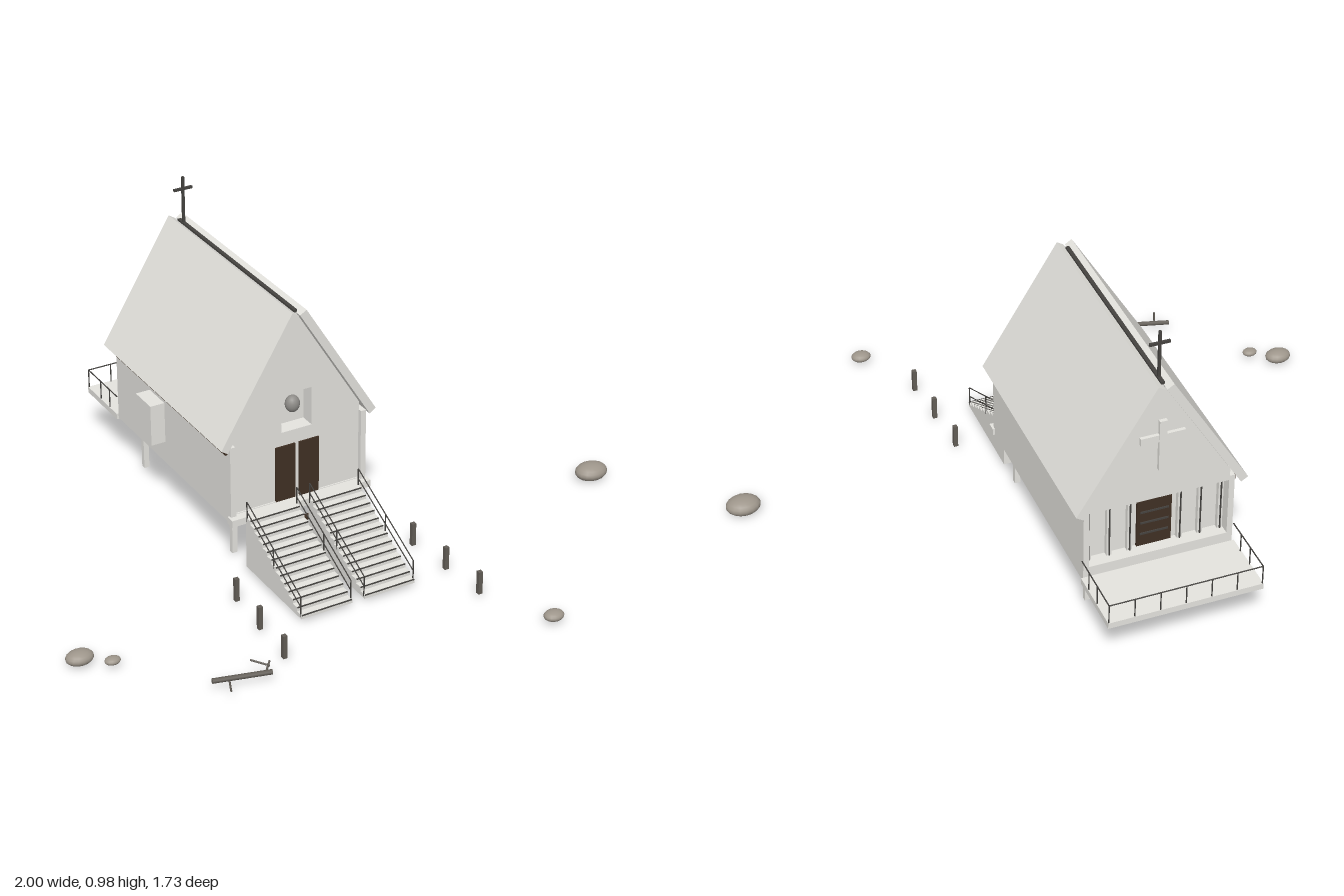
import * as THREE from 'three';

const mat = (name, color) => {
  const m = new THREE.MeshStandardMaterial({ color });
  m.name = name;
  return m;
};

export function createModel() {
  const plaster = mat('pale plaster', 0xe4e3de);
  const brown = mat('dark brown wood', 0x403024);
  const iron = mat('dark iron', 0x454340);
  const stone = mat('grey stone', 0x9e968b);
  const oldWood = mat('weathered wood', 0x625d56);
  const bronze = mat('bell metal', 0x8f8d89);

  const model = new THREE.Group();
  model.name = 'hillChapel';
  const chapel = new THREE.Group();
  chapel.name = 'chapel';
  chapel.position.x = -0.093;
  model.add(chapel);

  const add = (parent, name, geo, material) => {
    const m = new THREE.Mesh(geo, material);
    m.name = name;
    parent.add(m);
    return m;
  };
  // Box given by its minimum and maximum on each axis
  const box = (parent, name, material, x0, x1, y0, y1, z0, z1) => {
    const m = add(parent, name, new THREE.BoxGeometry(x1 - x0, y1 - y0, z1 - z0), material);
    m.position.set((x0 + x1) / 2, (y0 + y1) / 2, (z0 + z1) / 2);
    return m;
  };
  // Round bar between two points
  const bar = (parent, name, material, a, b, r, sides = 6) => {
    const p = new THREE.Vector3(...a), q = new THREE.Vector3(...b);
    const m = add(parent, name, new THREE.CylinderGeometry(r, r, p.distanceTo(q), sides), material);
    m.position.copy(p).add(q).multiplyScalar(0.5);
    m.quaternion.setFromUnitVectors(new THREE.Vector3(0, 1, 0), q.sub(p).normalize());
    return m;
  };
  const shape = (pts) => new THREE.Shape(pts.map(([x, y]) => new THREE.Vector2(x, y)));
  // Outline in x and y, extruded from z0 to z1
  const prism = (parent, name, material, s, z0, z1) => {
    const geo = new THREE.ExtrudeGeometry(s, { depth: z1 - z0, bevelEnabled: false });
    geo.translate(0, 0, z0);
    return add(parent, name, geo, material);
  };

  // Floor, front lip, rear terrace and stilts
  box(chapel, 'floorSlab', plaster, -0.22, 0.22, 0.165, 0.19, -0.655, 0.1);
  box(chapel, 'frontLip', plaster, -0.245, 0.245, 0.165, 0.188, 0.1, 0.13);
  box(chapel, 'rearTerrace', plaster, -0.245, 0.245, 0.16, 0.18, -0.868, -0.655);
  for (const x of [-0.19, 0.19])
    for (const z of [-0.565, 0.035])
      box(chapel, 'stilt', plaster, x - 0.009, x + 0.009, 0.012, 0.165, z - 0.008, z + 0.008);

  // Side walls, roof slabs and eaves strips, mirrored
  for (const s of [-1, 1]) {
    const side = (a, b) => (s > 0 ? [a, b] : [-b, -a]);
    box(chapel, 'sideWall', plaster, ...side(0.22, 0.238), 0.165, 0.43, -0.655, 0.11);
    prism(chapel, 'roofSlab', plaster,
      shape([[0.27, 0.431], [0.024, 0.832], [0.002, 0.818], [0.248, 0.417]].map(([x, y]) => [x * s, y])),
      -0.677, 0.115);
    box(chapel, 'eavesStrip', brown, ...side(0.237, 0.247), 0.401, 0.42, -0.64, 0.095);
  }
  box(chapel, 'ridgeStrip', iron, -0.006, 0.006, 0.8, 0.827, -0.65, 0.09);

  // Front gable with the bell niche cut through
  const front = shape([[-0.222, 0.19], [0.222, 0.19], [0.222, 0.456], [0, 0.819], [-0.222, 0.456]]);
  front.holes.push(new THREE.Path([[-0.053, 0.424], [-0.053, 0.554], [0.053, 0.554], [0.053, 0.424]]
    .map(([x, y]) => new THREE.Vector2(x, y))));
  prism(chapel, 'frontGable', plaster, front, 0.045, 0.095);
  box(chapel, 'nicheBack', plaster, -0.06, 0.06, 0.418, 0.56, 0.035, 0.045);
  const bell = add(chapel, 'bell', new THREE.SphereGeometry(1, 18, 12), bronze);
  bell.scale.set(0.024, 0.028, 0.022);
  bell.position.set(0, 0.5, 0.07);

  // Front double door
  for (const s of [-1, 1]) {
    const x = s * 0.0415;
    box(chapel, 'frontDoor', brown, x - 0.0345, x + 0.0345, 0.188, 0.378, 0.092, 0.1);
  }

  // Rear gable above the recessed porch, with its raised cross
  prism(chapel, 'rearGable', plaster,
    shape([[-0.222, 0.415], [0.222, 0.415], [0.222, 0.456], [0, 0.819], [-0.222, 0.456]]), -0.655, -0.635);
  box(chapel, 'gableCrossUpright', plaster, -0.012, 0.012, 0.525, 0.7, -0.667, -0.655);
  box(chapel, 'gableCrossArm', plaster, -0.07, 0.07, 0.628, 0.652, -0.666, -0.655);
  box(chapel, 'porchWall', plaster, -0.222, 0.222, 0.19, 0.43, -0.61, -0.6);
  box(chapel, 'porchCeiling', plaster, -0.222, 0.222, 0.415, 0.425, -0.636, -0.6);
  box(chapel, 'porchSill', plaster, -0.222, 0.222, 0.19, 0.215, -0.655, -0.61);
  box(chapel, 'rearDoor', brown, -0.055, 0.055, 0.215, 0.395, -0.618, -0.61);
  for (const y of [0.26, 0.3, 0.34])
    box(chapel, 'rearDoorBar', iron, -0.045, 0.045, y - 0.003, y + 0.003, -0.621, -0.617);
  for (const x of [-0.21, -0.145, -0.08, 0.08, 0.145, 0.21]) {
    box(chapel, 'porchMullion', plaster, x - 0.008, x + 0.008, 0.215, 0.415, -0.625, -0.61);
    box(chapel, 'mullionTrim', iron, x - 0.002, x + 0.002, 0.215, 0.415, -0.628, -0.625);
  }

  // Terrace railing
  const R = 0.242, back = -0.865, top = 0.244;
  bar(chapel, 'terraceRail', iron, [-R, top, back], [R, top, back], 0.002);
  for (const x of [-R, R]) {
    bar(chapel, 'terraceRail', iron, [x, top, -0.655], [x, top, back], 0.002);
    for (const z of [-0.71, -0.775, back])
      bar(chapel, 'terracePost', iron, [x, 0.18, z], [x, top, z], 0.002);
  }
  for (let i = 1; i < 6; i++) {
    const x = -R + (2 * R * i) / 6;
    bar(chapel, 'terracePost', iron, [x, 0.18, back], [x, top, back], 0.002);
  }

  // Twin stairs: stepped outline in z and y, extruded across x
  const steps = 13, zTop = 0.13, zEnd = 0.467, yLow = 0.012, yHigh = 0.188;
  const run = (zEnd - zTop) / steps, rise = (yHigh - yLow) / steps;
  const outline = [[zTop, yLow], [zEnd, yLow]];
  for (let i = 0; i < steps; i++) {
    outline.push([zEnd - i * run, yLow + (i + 1) * rise], [zEnd - (i + 1) * run, yLow + (i + 1) * rise]);
  }
  for (const cx of [-0.11, 0.11]) {
    const stair = prism(chapel, 'stair', plaster, shape(outline), -0.088, 0.088);
    stair.rotation.y = -Math.PI / 2;
    stair.position.x = cx;
    for (let i = 0; i < steps; i++) { // dark nosing on each tread
      const z = zEnd - i * run, y = yLow + (i + 1) * rise;
      box(chapel, 'stairNosing', iron, cx - 0.087, cx + 0.087, y - 0.003, y + 0.0005, z - 0.002, z + 0.001);
    }
    for (const s of [-1, 1]) {
      const x = cx + s * 0.087;
      for (const d of [0, -0.035])
        bar(chapel, 'stairRail', iron, [x, 0.088 + d, 0.46], [x, 0.245 + d, 0.136], 0.0018);
      for (const t of [0, 0.5, 1]) {
        const z = 0.46 - t * 0.324, y = 0.088 + t * 0.157;
        bar(chapel, 'stairPost', iron, [x, y - 0.07, z], [x, y, z], 0.0022);
      }
    }
  }

  // Low barrier beneath the floor
  box(chapel, 'barrierBeam', brown, -0.12, 0.12, 0.036, 0.047, 0.004, 0.022);
  for (let i = 0; i < 8; i++) {
    const x = -0.105 + i * 0.03;
    box(chapel, 'barrierPlank', brown, x - 0.008, x + 0.008, 0.014, 0.036, 0.006, 0.02);
  }

  // Wall cabinet and roof cross
  box(chapel, 'wallCabinet', plaster, -0.287, -0.238, 0.24, 0.38, -0.42, -0.32);
  box(chapel, 'roofCrossUpright', iron, -0.004, 0.004, 0.8, 0.983, -0.624, -0.616);
  box(chapel, 'roofCrossArm', iron, -0.032, 0.032, 0.938, 0.946, -0.624, -0.616);

  // Path posts
  for (const [x, z] of [[-0.408, 0.28], [-0.421, 0.447], [-0.433, 0.613], [0.217, 0.28], [0.231, 0.447], [0.244, 0.613]])
    box(model, 'pathPost', oldWood, x - 0.007, x + 0.007, 0.012, 0.09, z - 0.007, z + 0.007);

  // Rocks: x, y, z and radii
  for (const [x, y, z, rx, ry, rz] of [
    [-0.956, 0.029, 0.335, 0.044, 0.022, 0.034],
    [-0.878, 0.025, 0.392, 0.025, 0.012, 0.02],
    [0.359, 0.025, 0.84, 0.033, 0.016, 0.027],
    [0.944, 0.028, 0.213, 0.056, 0.028, 0.045],
  ]) {
    const rock = add(model, 'rock', new THREE.SphereGeometry(1, 16, 10), stone);
    rock.scale.set(rx, ry, rz);
    rock.position.set(x, y, z);
  }

  // Fallen branch with twigs
  bar(model, 'fallenBranch', oldWood, [-0.685, 0.034, 0.639], [-0.513, 0.034, 0.685], 0.008, 8);
  bar(model, 'twig', oldWood, [-0.506, 0.036, 0.657], [-0.544, 0.04, 0.609], 0.003);
  bar(model, 'twig', oldWood, [-0.53, 0.036, 0.678], [-0.508, 0.056, 0.66], 0.003);
  bar(model, 'twig', oldWood, [-0.643, 0.034, 0.667], [-0.661, 0.034, 0.71], 0.003);

  return model;
}
